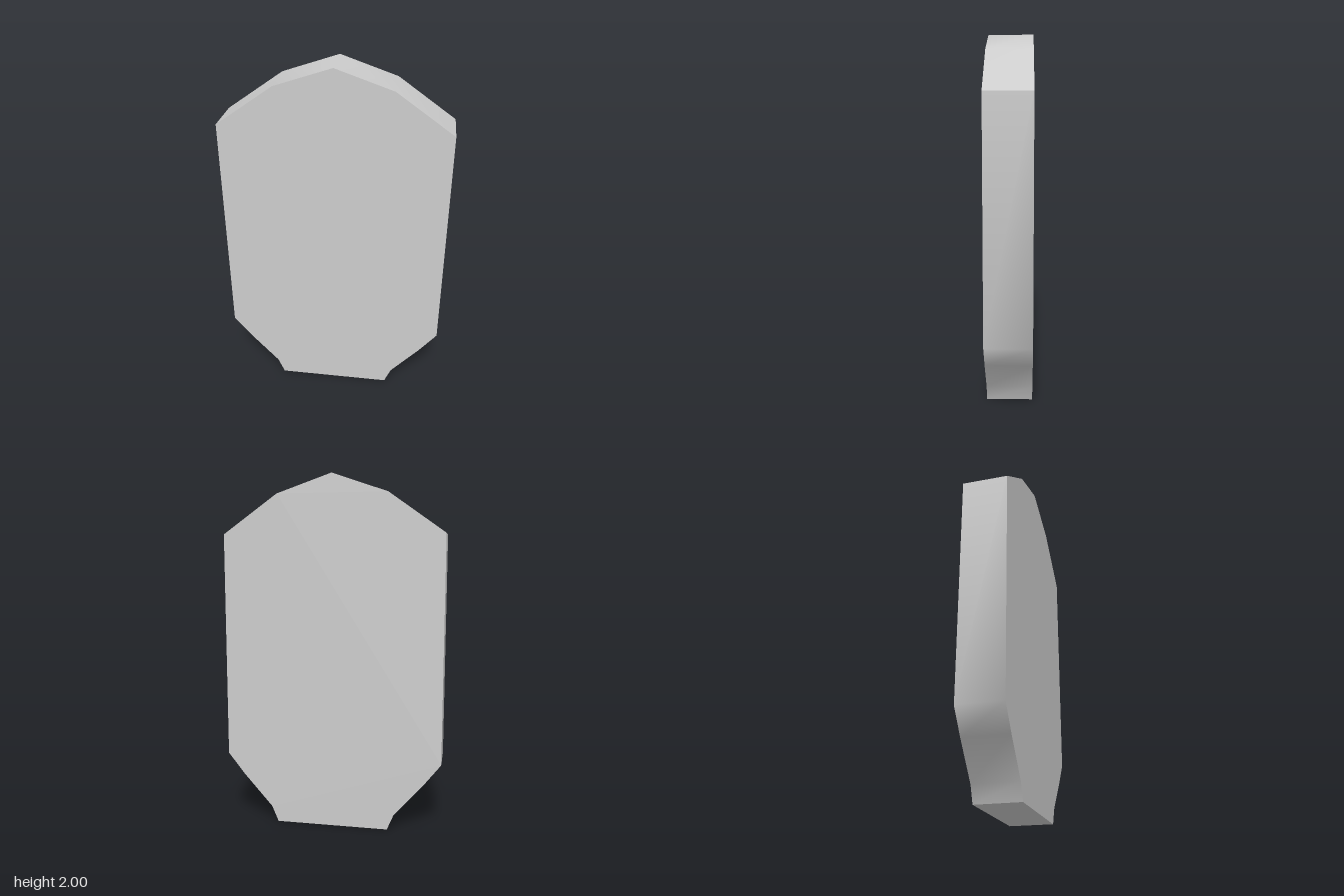
import * as THREE from 'three';
import { toCreasedNormals } from 'three/addons/utils/BufferGeometryUtils.js';

const DEPTH = 0.25;

export function createModel() {
  const group = new THREE.Group();
  group.name = 'slab';

  // Half outline from the foot up the +x side; the other side is mirrored
  const half = [
    [0.322, 0], [0.36, 0.09], [0.523, 0.274], [0.622, 0.4],
    [0.622, 1.675], [0.31, 1.895],
  ];
  const mirrored = half.map(([x, y]) => [-x, y]).reverse();
  const outline = [...half, [0, 2], ...mirrored].map(([x, y]) => new THREE.Vector2(x, y));

  const extruded = new THREE.ExtrudeGeometry(new THREE.Shape(outline), {
    depth: DEPTH,
    bevelEnabled: false,
  });
  extruded.translate(0, 0, -DEPTH / 2);

  // Soft shading along the rim, sharp at the shoulders, foot and faces
  const geometry = toCreasedNormals(extruded, THREE.MathUtils.degToRad(45));
  const body = new THREE.Mesh(geometry, new THREE.MeshStandardMaterial({ color: 0xcccccc }));
  body.name = 'slabBody';
  group.add(body);

  return group;
}
